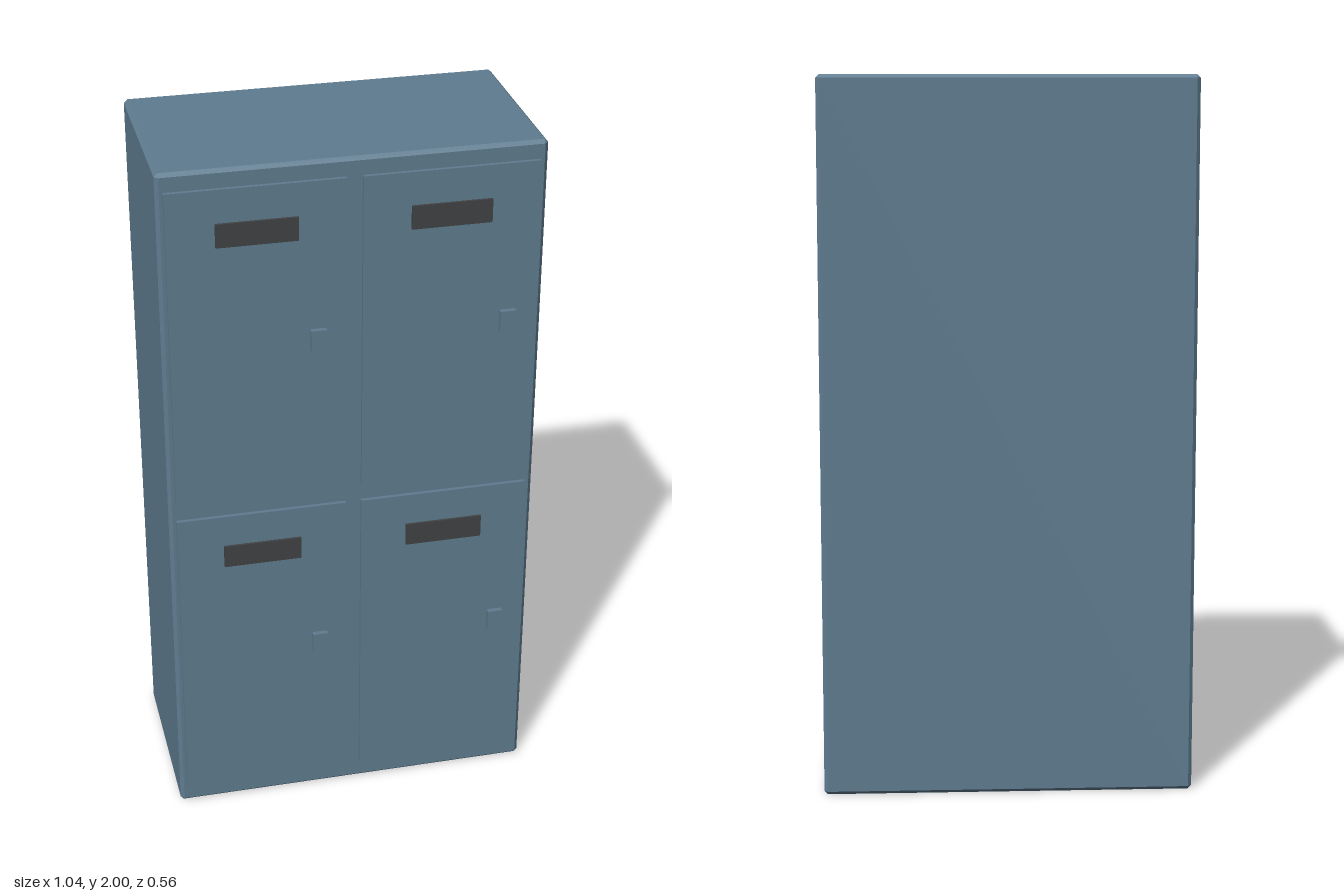
import * as THREE from 'three';
import { ConvexGeometry } from 'three/addons/geometries/ConvexGeometry.js';

const steel = new THREE.MeshStandardMaterial({ color: 0x5f7c90 });
steel.name = 'blue grey steel';
const dark = new THREE.MeshStandardMaterial({ color: 0x404244 });
dark.name = 'dark grey vent';

// Box with every edge chamfered by c, centred on the origin
function chamferedBox(w, h, d, c) {
  const points = [];
  for (const x of [-1, 1]) for (const y of [-1, 1]) for (const z of [-1, 1]) {
    const X = x * w / 2, Y = y * h / 2, Z = z * d / 2;
    points.push(
      new THREE.Vector3(X, Y - y * c, Z - z * c),
      new THREE.Vector3(X - x * c, Y, Z - z * c),
      new THREE.Vector3(X - x * c, Y - y * c, Z));
  }
  return new ConvexGeometry(points);
}

// Box given by its centre in x and y and its back and front in z
function plate(name, w, h, x, y, back, front, material) {
  const mesh = new THREE.Mesh(new THREE.BoxGeometry(w, h, front - back), material);
  mesh.position.set(x, y, (back + front) / 2);
  mesh.name = name;
  return mesh;
}

export function createModel() {
  const model = new THREE.Group();
  model.name = 'lockers';

  // Cabinet
  const cabinet = new THREE.Mesh(chamferedBox(1.036, 2, 0.538, 0.01), steel);
  cabinet.name = 'cabinet';
  cabinet.position.set(0, 1, -0.013);
  model.add(cabinet);

  // Four doors, each with a vent near the top and a latch on the +x side
  for (const [row, y] of [['lower', 0.517], ['upper', 1.49]]) {
    for (const [side, x] of [['Right', -0.261], ['Left', 0.258]]) {
      const door = new THREE.Group();
      door.name = row + side + 'Door';
      door.add(
        plate('doorPanel', 0.475, 0.918, x, y, 0.25, 0.267, steel),
        plate('vent', 0.218, 0.066, x, y + 0.333, 0.266, 0.274, dark),
        plate('latch', 0.043, 0.06, x + 0.161, y + 0.007, 0.26, 0.282, steel));
      model.add(door);
    }
  }
  return model;
}
